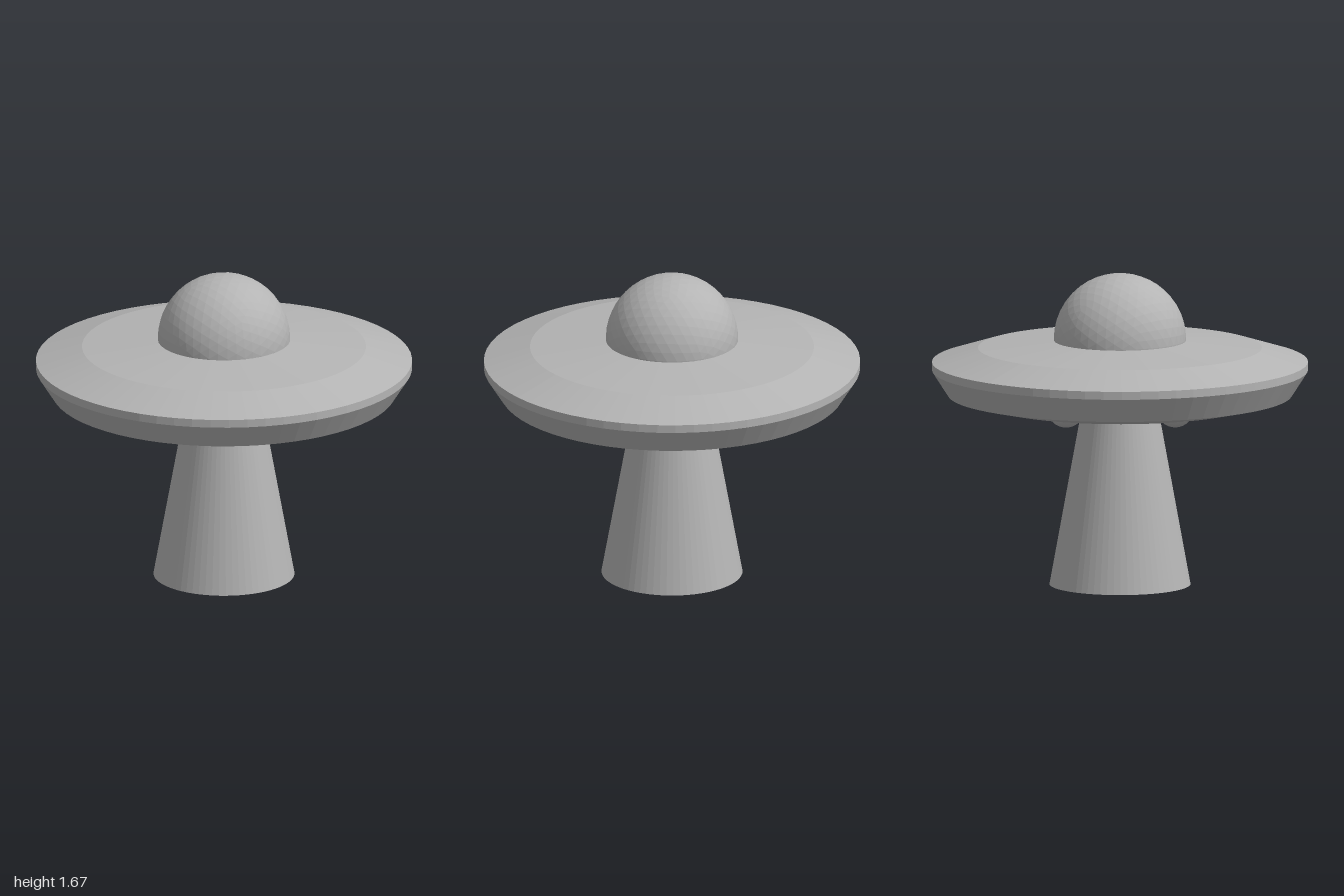
import * as THREE from 'three';

export function createModel() {
  const model = new THREE.Group();
  model.name = 'flyingSaucer';
  const grey = new THREE.MeshStandardMaterial({ color: 0xb4b4b4, flatShading: true });
  grey.name = 'plain grey';

  const add = (name, geometry, x = 0, y = 0, z = 0) => {
    const mesh = new THREE.Mesh(geometry, grey);
    mesh.name = name;
    mesh.position.set(x, y, z);
    model.add(mesh);
    return mesh;
  };

  // Saucer hull, turned from the underside centre up to the top
  const profile = [
    [0, 0.952], [0.2, 0.955], [0.73, 0.978], [0.915, 1.02], [1, 1.153],
    [1, 1.196], [0.755, 1.273], [0.35, 1.312], [0, 1.32],
  ].map(([r, y]) => new THREE.Vector2(r, y));
  add('saucerHull', new THREE.LatheGeometry(profile, 64));

  // Cockpit dome, its lower half hidden in the hull
  add('dome', new THREE.IcosahedronGeometry(0.352, 7), 0, 1.318, 0);

  // Beam flaring down to the ground
  add('beam', new THREE.CylinderGeometry(0.193, 0.375, 1, 64), 0, 0.5, 0);

  // Four round landing pods under the hull
  for (let i = 0; i < 4; i++) {
    const a = (i * Math.PI) / 2;
    add('landingPod' + (i + 1), new THREE.IcosahedronGeometry(0.1, 7),
      0.41 * Math.cos(a), 0.99, 0.41 * Math.sin(a));
  }

  return model;
}
